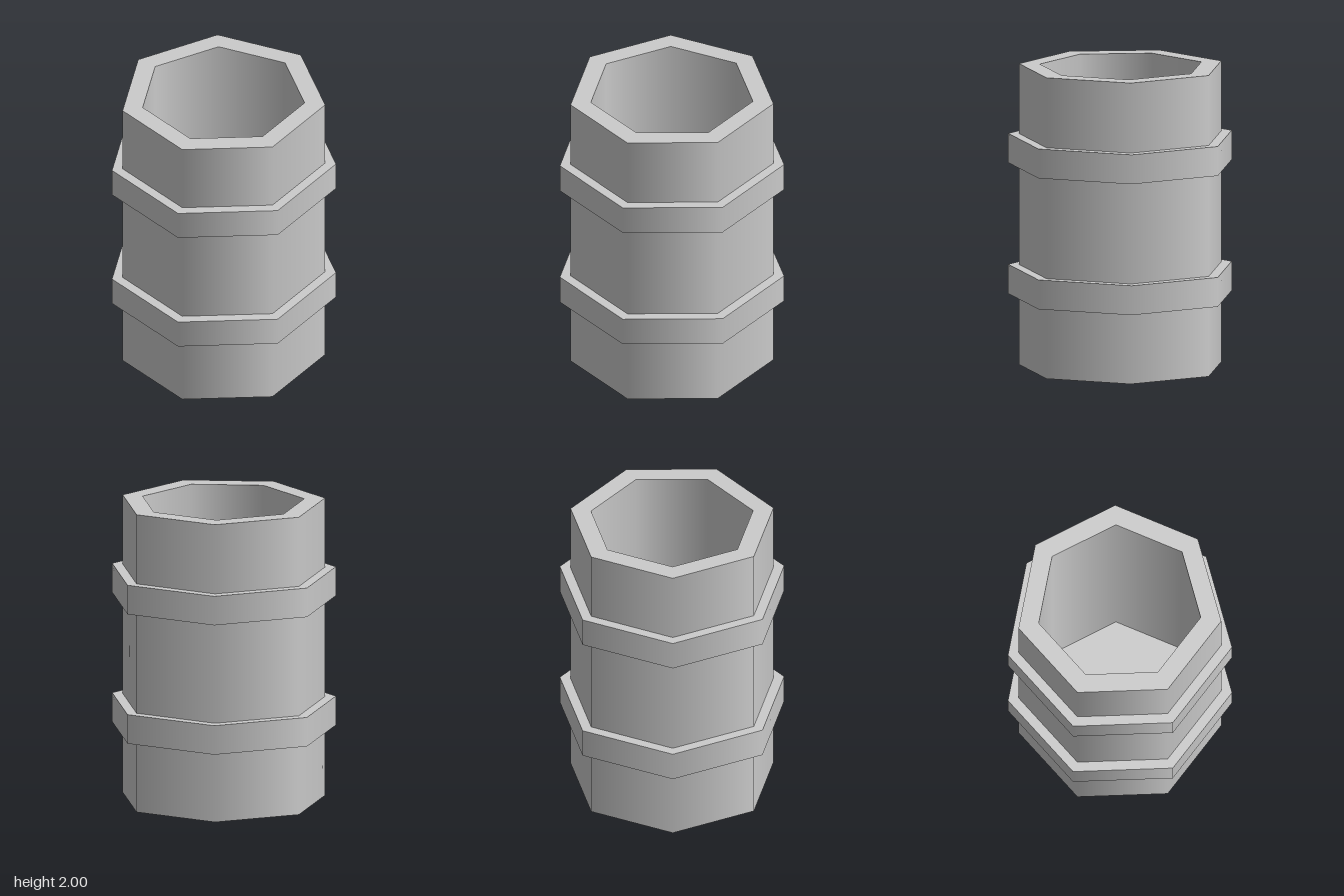
import * as THREE from 'three';
import { mergeGeometries } from 'three/addons/utils/BufferGeometryUtils.js';

const SIDES = 7;
const material = new THREE.MeshStandardMaterial({ color: 0xcccccc });

// Seven-sided lathe: smooth around the axis, crisp at every profile corner
function turned(name, profile) {
  const bands = [];
  for (let i = 0; i < profile.length - 1; i++) {
    const pair = [profile[i], profile[i + 1]].map(([r, y]) => new THREE.Vector2(r, y));
    bands.push(new THREE.LatheGeometry(pair, SIDES, Math.PI));
  }
  const mesh = new THREE.Mesh(mergeGeometries(bands), material);
  mesh.name = name;
  return mesh;
}

export function createModel() {
  const barrel = new THREE.Group();
  barrel.name = 'barrel';

  // Hollow body: base, outer wall, rim, inner wall, floor
  const outer = 0.682, inner = 0.545, floorY = 0.14;
  barrel.add(turned('body', [
    [0, 0], [outer, 0], [outer, 2], [inner, 2], [inner, floorY], [0, floorY],
  ]));

  // Two raised hoops around the body
  const hoopRadius = 0.754;
  [['lowerHoop', 0.47, 0.665], ['upperHoop', 1.34, 1.535]].forEach(([name, y0, y1]) => {
    barrel.add(turned(name, [[outer, y0], [hoopRadius, y0], [hoopRadius, y1], [outer, y1]]));
  });

  // An odd-sided ring is off-centre front to back, so shift it to the middle
  barrel.position.z = 0.036;

  const model = new THREE.Group();
  model.add(barrel);
  return model;
}
